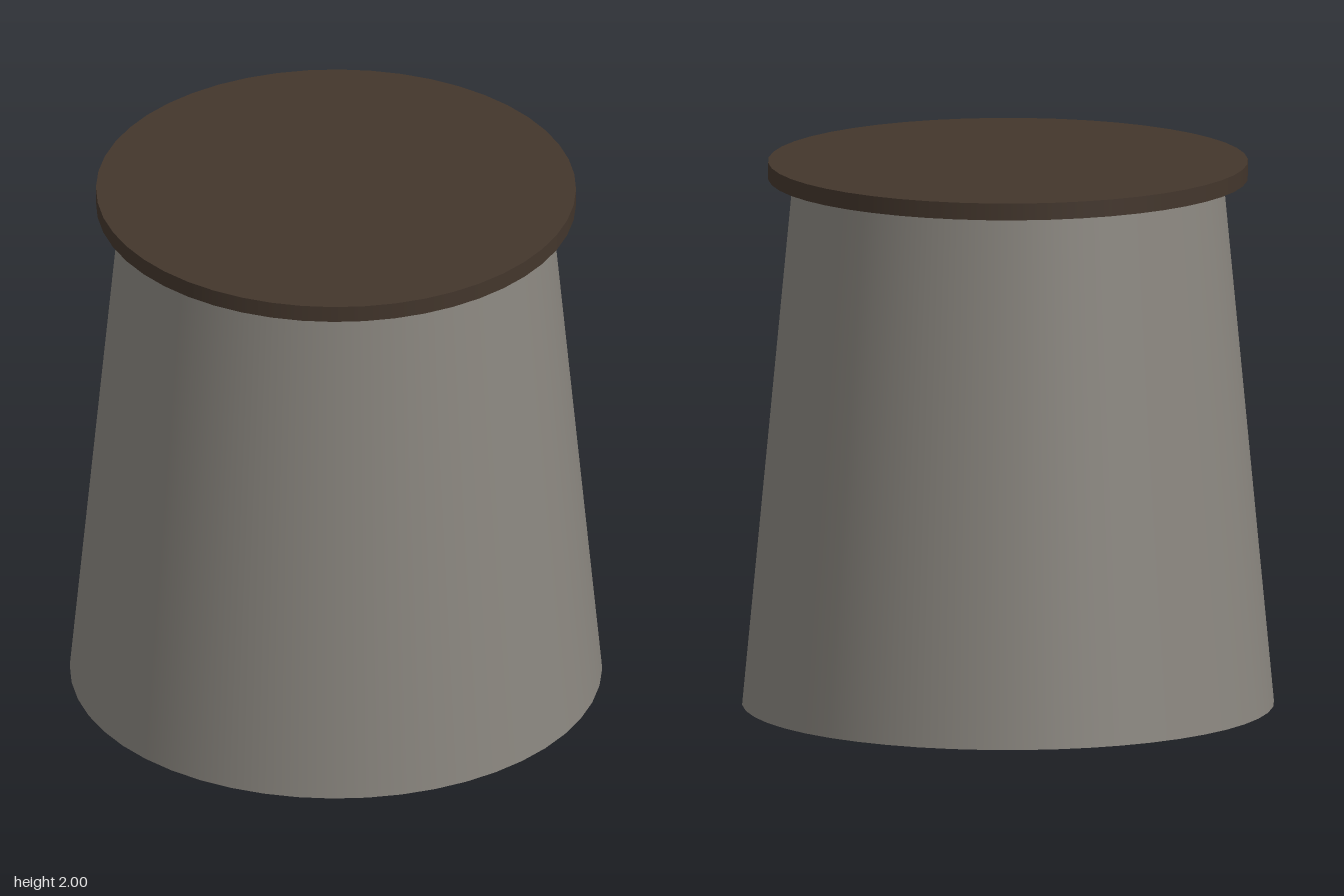
import * as THREE from 'three';

const SEGMENTS = 48;

export function createModel() {
  const model = new THREE.Group();

  // Adds a solid round part standing between two heights
  const addRound = (name, topRadius, bottomRadius, y0, y1, color) => {
    const mesh = new THREE.Mesh(
      new THREE.CylinderGeometry(topRadius, bottomRadius, y1 - y0, SEGMENTS),
      new THREE.MeshStandardMaterial({ color })
    );
    mesh.position.y = (y0 + y1) / 2;
    mesh.name = name;
    model.add(mesh);
  };

  // Tapered body, its top sunk just below the lid surface
  addRound('body', 0.777, 0.967, 0, 1.995, 0x8a867f);

  // Thin overhanging lid
  addRound('lid', 0.872, 0.872, 1.938, 2, 0x43362c);

  return model;
}
